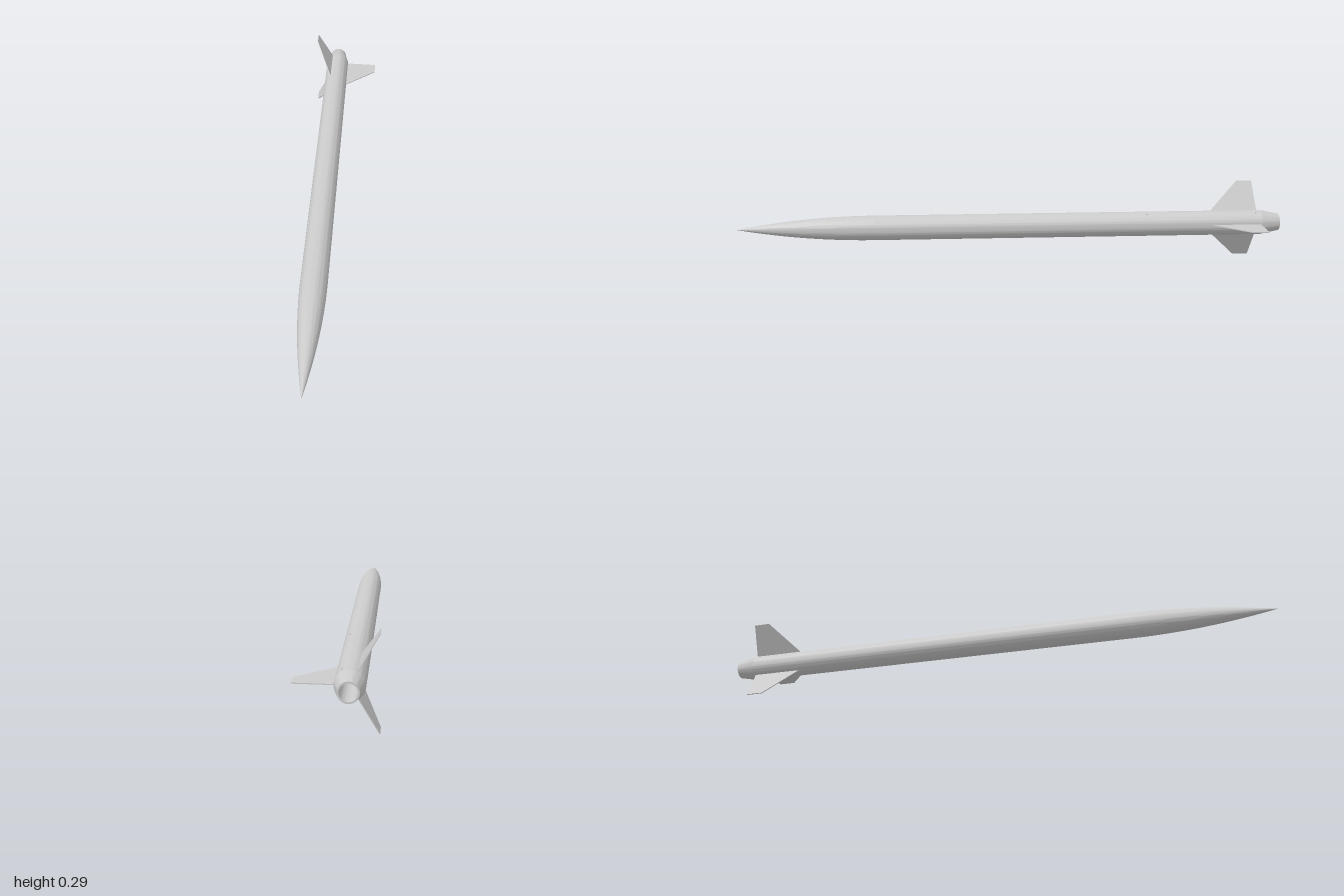
import * as THREE from 'three';
import { toCreasedNormals } from 'three/addons/utils/BufferGeometryUtils.js';

const R = 0.045;       // body radius
const TIP = 0.164;     // fin tip distance from the axis

export function createModel() {
  const model = new THREE.Group();
  model.name = 'rocket';
  // the uneven fin spread shifts the body axis off centre
  model.position.set(-0.041, 0.144, 0);
  const material = new THREE.MeshStandardMaterial({ color: 0xcccccc });

  const add = (name, geometry, parent = model) => {
    const mesh = new THREE.Mesh(geometry, material);
    mesh.name = name;
    parent.add(mesh);
    return mesh;
  };

  // Lathe turned to lie along z; points are [radius, z], rear to front
  const turned = (points) => toCreasedNormals(
    new THREE.LatheGeometry(points.map(([r, z]) => new THREE.Vector2(r, z)), 64)
      .rotateX(Math.PI / 2), 0.2);

  // Group turned about the body axis, so its +x points outwards
  const spoke = (name, degrees) => {
    const group = new THREE.Group();
    group.name = name;
    group.rotation.z = THREE.MathUtils.degToRad(degrees);
    model.add(group);
    return group;
  };

  // Body tube
  add('bodyTube', turned([[R, -0.93], [R, 0.5]]));

  // Pointed ogive nose
  const nose = [];
  for (let i = 0; i <= 24; i++) {
    const t = i / 24;
    nose.push([R * (1 - t * t), 0.5 + 0.5 * t]);
  }
  add('noseCone', turned(nose));

  // Tapered tail with an open motor tube
  add('tailCone', turned([
    [0, -0.7], [0.026, -0.7], [0.026, -1], [0.031, -1], [R, -0.93],
  ]));

  // Three swept fins, drawn as (distance from axis, z)
  const outline = new THREE.Shape([
    [0.04, -0.742], [TIP, -0.858], [TIP, -0.916], [0.04, -0.924],
  ].map(([r, z]) => new THREE.Vector2(r, z)));
  const finGeometry = new THREE.ExtrudeGeometry(outline, { depth: 0.003, bevelEnabled: false })
    .translate(0, 0, -0.0015)
    .rotateX(Math.PI / 2);
  for (const angle of [0, 120, 240]) add('fin', finGeometry, spoke('finMount', angle));

  // Launch rail buttons: a thin stem under a wider cap
  const rail = spoke('railButtons', 61);
  for (const z of [-0.5, -0.908]) {
    const stem = new THREE.CylinderGeometry(0.0015, 0.0015, 0.005, 12).rotateZ(Math.PI / 2);
    add('buttonStem', stem, rail).position.set(R + 0.001, 0, z);
    const cap = new THREE.CylinderGeometry(0.003, 0.003, 0.0015, 16).rotateZ(Math.PI / 2);
    add('buttonCap', cap, rail).position.set(R + 0.0035, 0, z);
  }

  // Small vent rims around the middle of the tube
  const ventGeometry = new THREE.TorusGeometry(0.002, 0.0004, 6, 16).rotateY(Math.PI / 2);
  for (const angle of [60, 180, 300]) {
    add('ventRim', ventGeometry, spoke('ventMount', angle)).position.set(R, 0, -0.05);
  }

  const root = new THREE.Group();
  root.add(model);
  return root;
}
